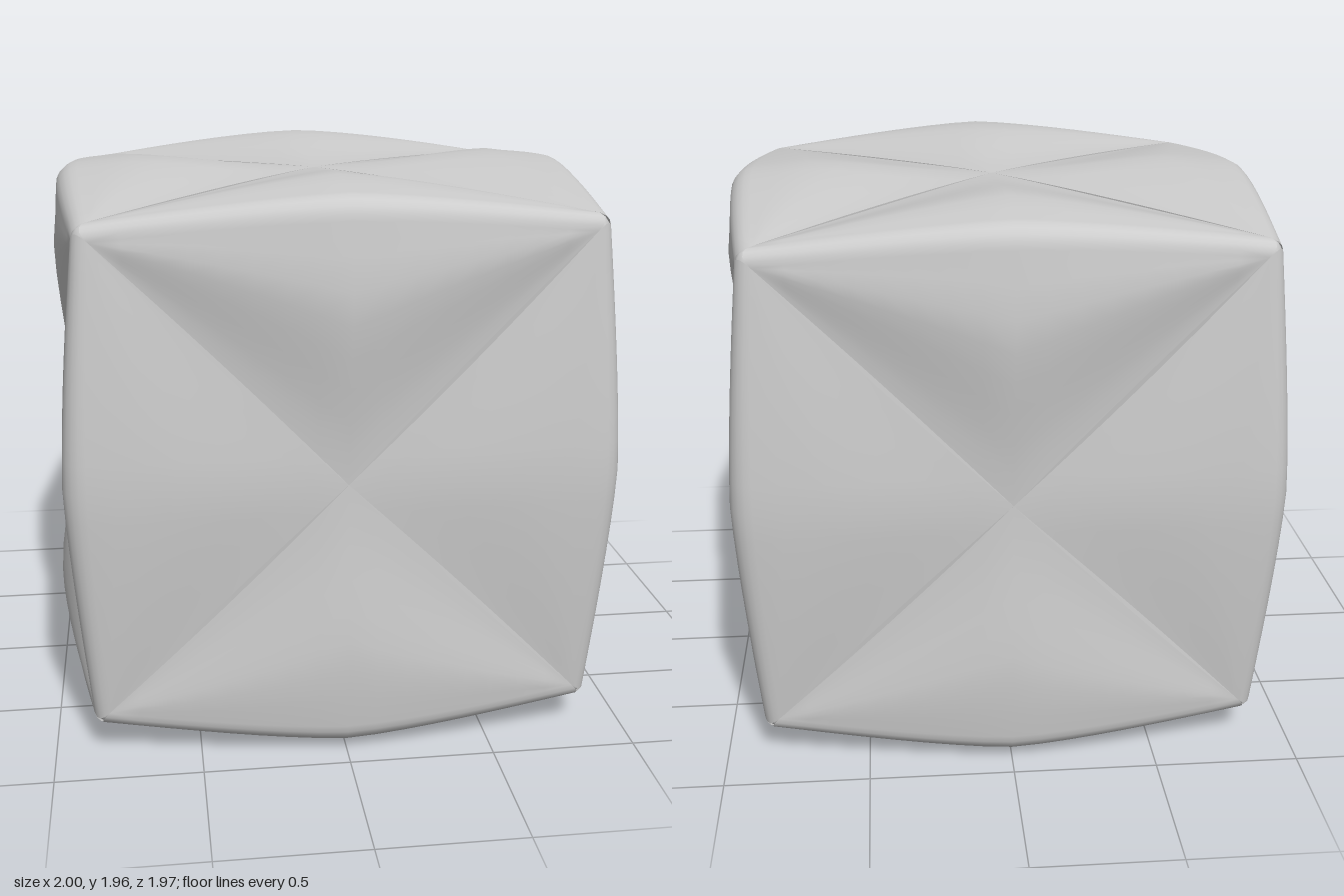
import * as THREE from 'three';
import { toCreasedNormals } from 'three/addons/utils/BufferGeometryUtils.js';

const material = new THREE.MeshStandardMaterial({ color: 0xcccccc, side: THREE.DoubleSide });
const CORNER = 0.81;   // where the diagonal cuts end
const CENTRE = 0.915;  // height of the face centres
const ROWS = 16, FLAT = 8, ARC = 5;
const { lerp, smoothstep } = THREE.MathUtils;

// Broad swell near the edge: peaks inside it, then drops a little
const swell = (f) => lerp(Math.min(f / 0.72, 1), smoothstep(f, 0.05, 0.74), 0.6) - 0.4 * smoothstep(f, 0.72, 1);

// One of the twelve wedges: two triangular facets joined by a rounded edge.
// e runs along the edge, a and b are the normals of its two faces.
function edgeWedge(e, a, b, peakA, peakB) {
  const positions = [], index = [];
  for (let i = 0; i <= ROWS; i++) {
    const t = (i / ROWS) * 2 - 1, w = Math.abs(t);
    const base = CENTRE - 0.05 * w ** 1.3;
    const r = lerp(0.08, 0.055, w);
    const height = (peak, f) => base + (peak - CENTRE) * (1 - w ** 1.35) * swell(f);
    const Ha = height(peakA, 1), Hb = height(peakB, 1);
    const start = w * CORNER + 0.011 * Math.sin(Math.PI * w);
    const row = [];
    // facet on face a, from the diagonal cut outwards
    for (let k = 0; k < FLAT; k++) {
      const f = k / FLAT;
      row.push([t * CORNER, height(peakA, f), lerp(start, Hb - r, f)]);
    }
    // rounded edge
    for (let k = 0; k <= ARC; k++) {
      const q = (k / ARC) * Math.PI / 2;
      const bulge = 0.025 * Math.sin(2 * q) * w ** 4 * Math.sign(t);
      row.push([t * CORNER + bulge, Ha - r + r * Math.cos(q), Hb - r + r * Math.sin(q)]);
    }
    // facet on face b, back to its diagonal cut
    for (let k = FLAT - 1; k >= 0; k--) {
      const f = k / FLAT;
      row.push([t * CORNER, lerp(start, Ha - r, f), height(peakB, f)]);
    }
    // cut walls running in towards the centre
    row.unshift(row[0].map((v) => v * 0.1));
    row.push(row[row.length - 1].map((v) => v * 0.1));
    for (const [x, y, z] of row) {
      const p = new THREE.Vector3().addScaledVector(e, x).addScaledVector(a, y).addScaledVector(b, z);
      positions.push(p.x, p.y, p.z);
    }
  }
  const n = positions.length / 3 / (ROWS + 1);
  const flip = e.clone().cross(a).dot(b) > 0;
  for (let i = 0; i < ROWS; i++) {
    for (let j = 0; j < n - 1; j++) {
      const p = i * n + j, q = p + n;
      if (flip) index.push(p, p + 1, q, q, p + 1, q + 1);
      else index.push(p, q, p + 1, q, q + 1, p + 1);
    }
  }
  const geometry = new THREE.BufferGeometry();
  geometry.setAttribute('position', new THREE.Float32BufferAttribute(positions, 3));
  geometry.setIndex(index);
  return toCreasedNormals(geometry, 0.7);
}

export function createModel() {
  const model = new THREE.Group();
  model.name = 'puzzleCube';
  const body = new THREE.Group();
  body.name = 'cubeBody';
  body.position.y = 0.98;
  model.add(body);

  const X = new THREE.Vector3(1, 0, 0), Y = new THREE.Vector3(0, 1, 0), Z = new THREE.Vector3(0, 0, 1);
  const add = (name, geometry) => {
    const mesh = new THREE.Mesh(geometry, material);
    mesh.name = name;
    body.add(mesh);
    return mesh;
  };

  for (const s of [1, -1]) {
    const side = s > 0 ? 'left' : 'right', face = s > 0 ? 'front' : 'back';
    for (const v of [1, -1]) {
      const level = v > 0 ? 'Top' : 'Bottom', top = v > 0;
      const up = Y.clone().multiplyScalar(v);
      // wedges along z, on the left and right
      add(side + level + 'Wedge', edgeWedge(Z, X.clone().multiplyScalar(s), up, top ? 0.965 : 1.0, 0.965));
      // wedges along x, at the front and back
      add(face + level + 'Wedge', edgeWedge(X, up, Z.clone().multiplyScalar(s), 0.98, top ? 0.987 : 0.96));
    }
    // upright wedges
    for (const f of [1, -1]) {
      add(side + (f > 0 ? 'Front' : 'Back') + 'UprightWedge',
        edgeWedge(Y, X.clone().multiplyScalar(s), Z.clone().multiplyScalar(f), 0.938, 0.93));
    }
  }

  // small rounded tips closing the eight corners
  const tip = new THREE.SphereGeometry(0.054, 12, 8);
  for (const x of [1, -1]) for (const y of [1, -1]) for (const z of [1, -1]) {
    add('cornerTip', tip).position.set(x, y, z).multiplyScalar(CORNER);
  }
  return model;
}
